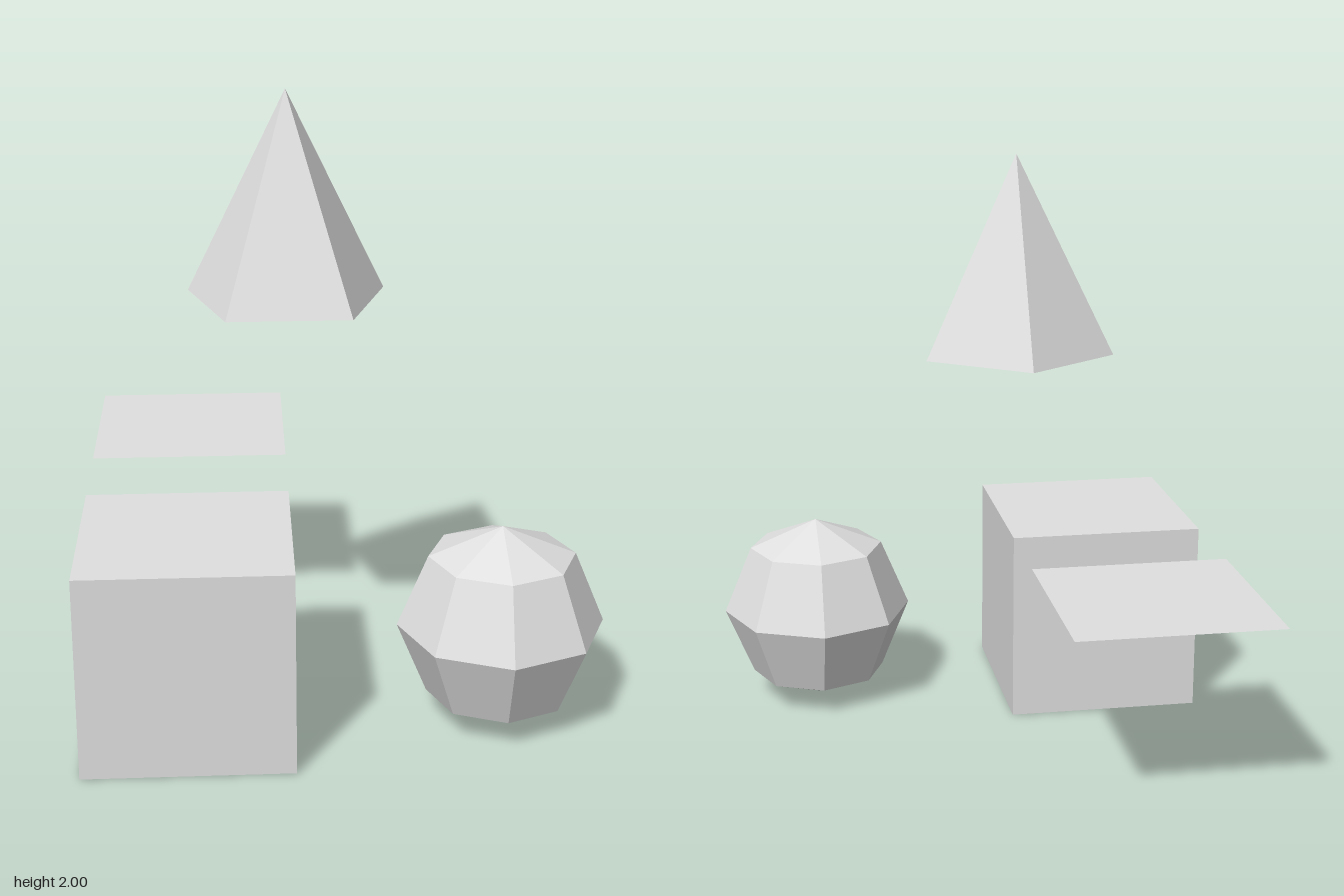
import * as THREE from 'three';

const SIZE = 2 / 3;
const R = SIZE / 2;

export function createModel() {
  const group = new THREE.Group();
  const paleGrey = new THREE.MeshStandardMaterial({ color: 0xe0e0e0, side: THREE.DoubleSide });
  paleGrey.name = 'paleGrey';

  // Un-indexed geometry with one normal per face keeps every facet crisp
  function add(name, geometry, x, y, z) {
    const flat = geometry.toNonIndexed();
    flat.computeVertexNormals();
    const mesh = new THREE.Mesh(flat, paleGrey);
    mesh.name = name;
    mesh.position.set(x, y, z);
    group.add(mesh);
  }

  // Cube and eight-sided ball resting side by side at the front
  add('cube', new THREE.BoxGeometry(SIZE, SIZE, SIZE), -0.5, R, 0.5);
  add('ball', new THREE.SphereGeometry(R, 8, 4), 0.5, R, 0.5);

  // Flat square hovering behind the cube, level with its top
  add('plane', new THREE.PlaneGeometry(SIZE, SIZE).rotateX(-Math.PI / 2), -0.5, SIZE, -0.5);

  // Five-sided cone floating above, one corner pointing back
  add('cone', new THREE.ConeGeometry(R, SIZE, 5).rotateY(Math.PI), -R / 2, 2 - R, R / 2);

  return group;
}
